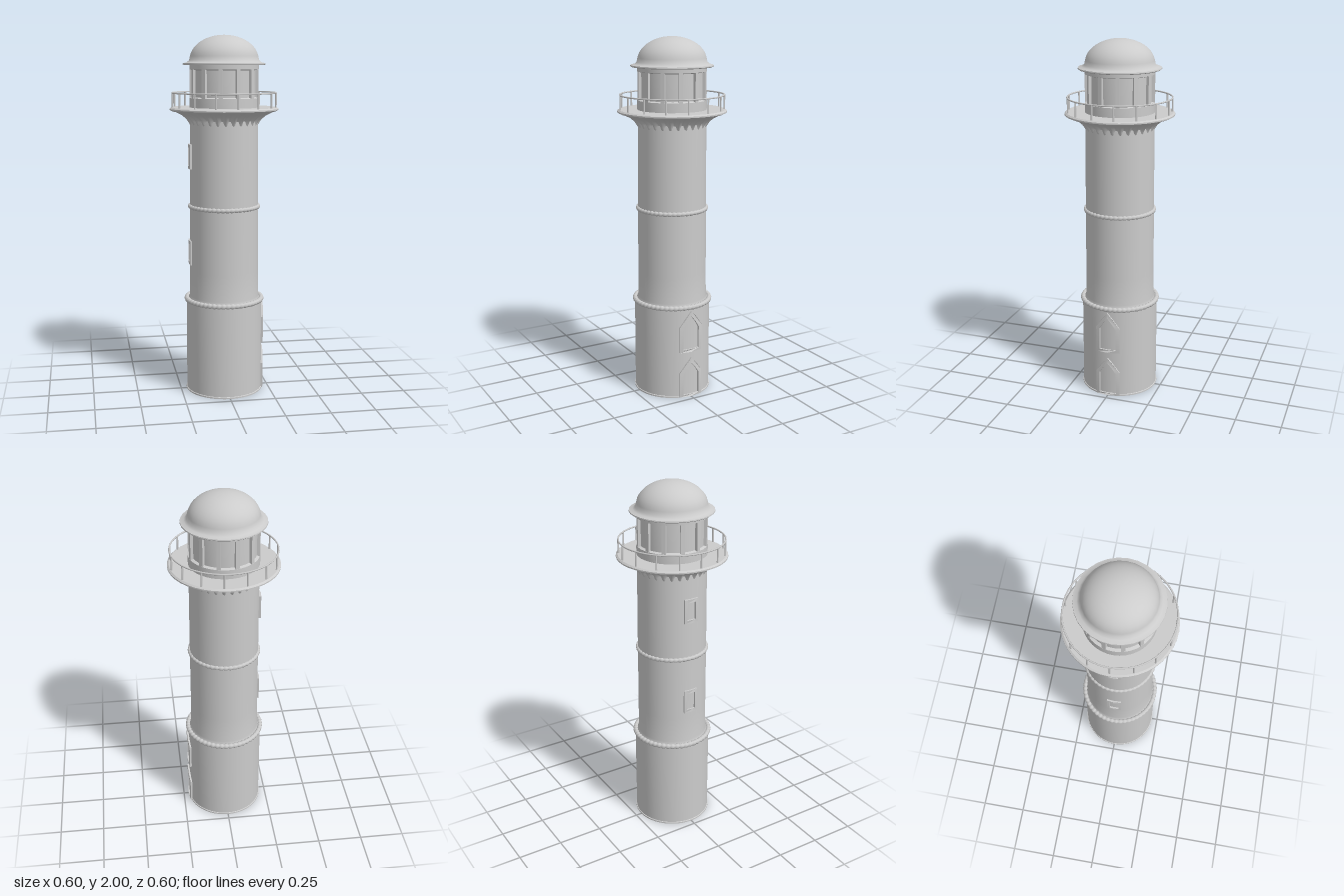
import * as THREE from 'three';
import { mergeVertices, toCreasedNormals } from 'three/addons/utils/BufferGeometryUtils.js';

const material = new THREE.MeshStandardMaterial({ color: 0xcccccc });

function add(parent, name, geometry) {
  const mesh = new THREE.Mesh(geometry, material);
  mesh.name = name;
  parent.add(mesh);
  return mesh;
}

const lathe = (points, sides) =>
  new THREE.LatheGeometry(points.map(([r, y]) => new THREE.Vector2(r, y)), sides);

// Moves every vertex by a rule, then rebuilds smooth normals across seams
function reshape(geometry, rule) {
  const p = geometry.attributes.position;
  const v = new THREE.Vector3();
  for (let i = 0; i < p.count; i++) {
    rule(v.fromBufferAttribute(p, i));
    p.setXYZ(i, v.x, v.y, v.z);
  }
  geometry.deleteAttribute('uv');
  geometry.deleteAttribute('normal');
  const merged = mergeVertices(geometry, 1e-5);
  merged.computeVertexNormals();
  return merged;
}

// Ring of rounded beads
function beadRing(radius, tube, beads) {
  const geometry = new THREE.TorusGeometry(radius, tube, 8, beads * 4).rotateX(Math.PI / 2);
  return reshape(geometry, (v) => {
    const a = Math.atan2(v.z, v.x);
    const r = Math.hypot(v.x, v.z);
    const s = 0.72 + 0.28 * Math.sqrt(Math.abs(Math.sin((a * beads) / 2)));
    const k = (radius + (r - radius) * s) / r;
    v.set(v.x * k, v.y * s, v.z * k);
  });
}

// Flat outline offset inwards as a hole, wrapped round the wall, facing +z
function wrappedFrame(outer, inner, wallRadius, depth) {
  const toPoints = (list) => list.map(([x, y]) => new THREE.Vector2(x, y));
  const shape = new THREE.Shape(toPoints(outer));
  shape.holes.push(new THREE.Path(toPoints(inner)));
  const geometry = new THREE.ExtrudeGeometry(shape, { depth: depth + 0.01, bevelEnabled: false });
  const wrapped = reshape(geometry, (v) => {
    const r = wallRadius - 0.01 + v.z;
    const a = v.x / wallRadius;
    v.set(Math.sin(a) * r, v.y, Math.cos(a) * r);
  });
  return toCreasedNormals(wrapped, 0.5);
}

// Pointed arch: half width, bottom, shoulder and apex heights
const arch = (w, bottom, shoulder, apex) => [
  [-w, bottom], [0, bottom], [w, bottom], [w, shoulder],
  [w / 2, (shoulder + apex) / 2 + 0.004], [0, apex],
  [-w / 2, (shoulder + apex) / 2 + 0.004], [-w, shoulder],
];
const rectangle = (w, bottom, top) => [
  [-w, bottom], [0, bottom], [w, bottom], [w, top], [0, top], [-w, top],
];

export function createModel() {
  const model = new THREE.Group();
  model.name = 'lighthouse';

  // Tower
  add(model, 'towerBase', toCreasedNormals(lathe(
    [[0, 0], [0.217, 0], [0.217, 0.008], [0.213, 0.01], [0.213, 0.535], [0, 0.535]], 48), 0.6));
  add(model, 'towerShaft', lathe(
    [[0.205, 0.53], [0.194, 0.55], [0.192, 0.7], [0.191, 1.06], [0.188, 1.54]], 48));

  // Beaded bands
  add(model, 'lowerBand', beadRing(0.211, 0.015, 52)).position.y = 0.53;
  add(model, 'upperBand', beadRing(0.19, 0.013, 48)).position.y = 1.06;

  // Two pointed openings on the left side
  const doorway = new THREE.Group();
  doorway.name = 'doorways';
  doorway.rotation.y = Math.PI / 2;
  add(doorway, 'doorFrame', wrappedFrame(
    arch(0.067, 0.002, 0.148, 0.235), arch(0.047, 0.016, 0.14, 0.205), 0.213, 0.01));
  add(doorway, 'archWindowFrame', wrappedFrame(
    arch(0.067, 0.27, 0.42, 0.51), arch(0.047, 0.287, 0.412, 0.48), 0.213, 0.01));
  model.add(doorway);

  // Small windows on the opposite side
  const windows = new THREE.Group();
  windows.name = 'smallWindows';
  windows.rotation.y = -Math.PI / 2;
  for (const y of [0.8, 1.34]) {
    add(windows, 'windowFrame', wrappedFrame(
      rectangle(0.04, y - 0.068, y + 0.068), rectangle(0.025, y - 0.05, y + 0.05), 0.191, 0.01));
  }
  model.add(windows);

  // Fluted corbel under the gallery
  const ribs = 28;
  const corbel = lathe(
    [[0.186, 1.51], [0.195, 1.525], [0.208, 1.545], [0.232, 1.565], [0.262, 1.58], [0.285, 1.592]],
    ribs * 6);
  add(model, 'flutedCorbel', reshape(corbel, (v) => {
    const a = Math.atan2(v.x, v.z);
    const t = (v.y - 1.51) / 0.082;
    const depth = 0.022 * Math.sin(Math.PI * Math.min(1, 0.12 + t * 0.85));
    const k = 1 - (depth * (0.5 + 0.5 * Math.cos(a * ribs))) / Math.hypot(v.x, v.z);
    v.set(v.x * k, v.y, v.z * k);
  }));

  // Gallery deck
  add(model, 'galleryDeck', toCreasedNormals(lathe(
    [[0.18, 1.588], [0.285, 1.588], [0.3, 1.595], [0.3, 1.602], [0.291, 1.609], [0, 1.609]], 40), 0.4));

  // Railing
  const railing = new THREE.Group();
  railing.name = 'railing';
  const rail = new THREE.TorusGeometry(0.285, 0.0045, 6, 60).rotateX(Math.PI / 2);
  add(railing, 'handrail', rail).position.y = 1.688;
  const post = new THREE.CylinderGeometry(0.005, 0.005, 0.085, 8);
  for (let i = 0; i < 15; i++) {
    const a = -Math.PI / 2 + (i * Math.PI * 2) / 15;
    add(railing, 'railPost', post).position.set(Math.sin(a) * 0.285, 1.647, Math.cos(a) * 0.285);
  }
  model.add(railing);

  // Lantern room: recessed panes between a sill, a head band and mullions
  add(model, 'lanternRoom', toCreasedNormals(lathe(
    [[0.19, 1.6], [0.19, 1.66], [0.174, 1.665], [0.174, 1.81], [0.19, 1.815], [0.19, 1.845]], 40), 0.6));
  const mullions = new THREE.Group();
  mullions.name = 'mullions';
  const bar = new THREE.BoxGeometry(0.022, 0.16, 0.02);
  for (let i = 0; i < 12; i++) {
    const a = ((i + 0.5) * Math.PI) / 6;
    const mesh = add(mullions, 'mullion', bar);
    mesh.position.set(Math.sin(a) * 0.179, 1.738, Math.cos(a) * 0.179);
    mesh.rotation.y = a;
  }
  model.add(mullions);

  // Domed roof with a thin flared eave
  const roof = [[0, 1.84], [0.222, 1.838], [0.227, 1.842], [0.226, 1.848], [0.205, 1.853], [0.192, 1.864]];
  for (let i = 1; i <= 12; i++) {
    const a = (i / 12) * Math.PI / 2;
    roof.push([Math.max(0, 0.189 * Math.cos(a)), 1.868 + 0.132 * Math.sin(a)]);
  }
  add(model, 'domeRoof', toCreasedNormals(lathe(roof, 28), 0.7));

  return model;
}
